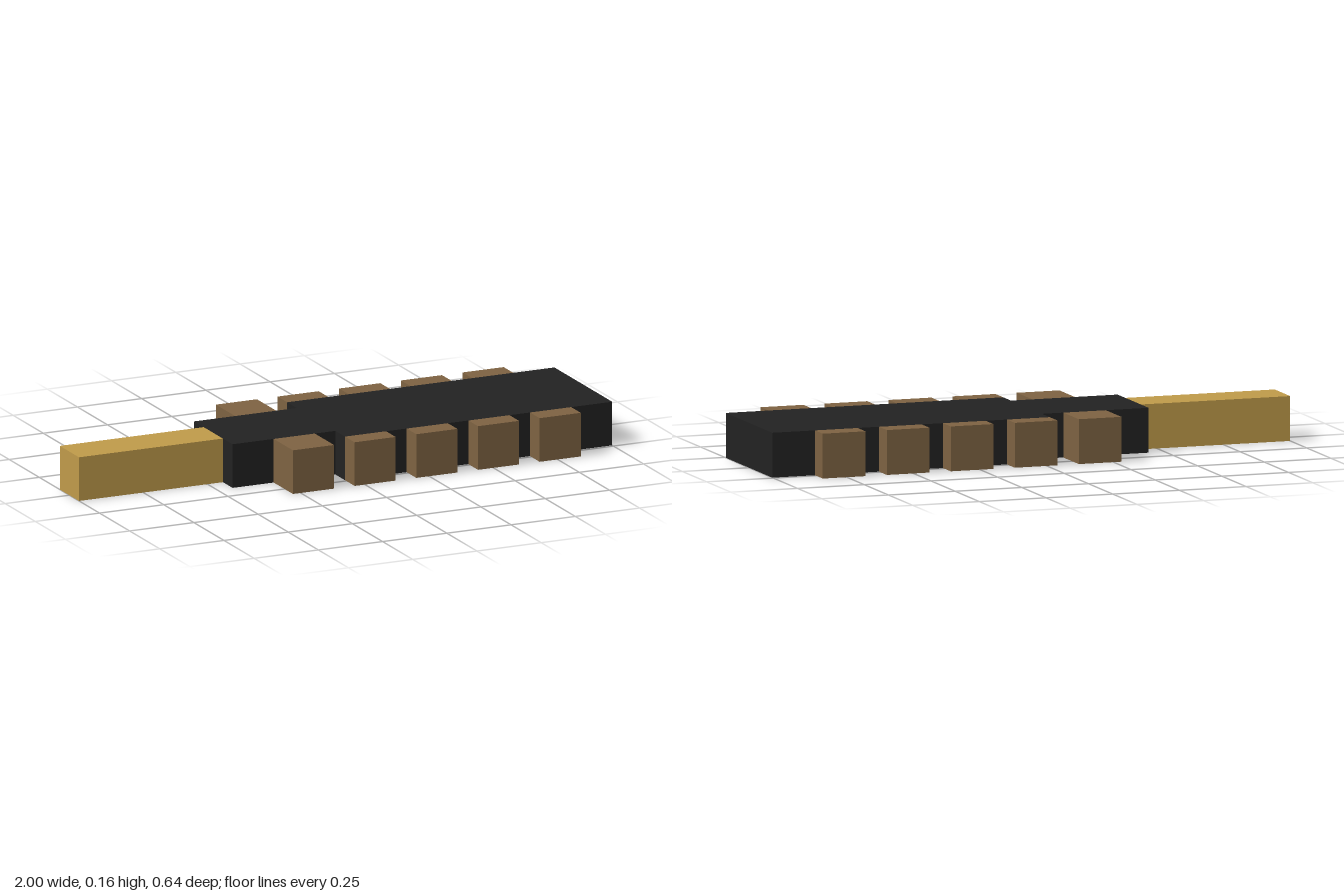
import * as THREE from 'three';

const HEIGHT = 0.16;

export function createModel() {
  const black = new THREE.MeshStandardMaterial({ name: 'black', color: 0x222222 });
  const brown = new THREE.MeshStandardMaterial({ name: 'brown', color: 0x7e6342 });
  const gold = new THREE.MeshStandardMaterial({ name: 'gold', color: 0xc09b4a });

  const model = new THREE.Group();
  model.name = 'toothedBlade';

  // Full-height block spanning x0..x1 and z0..z1
  function block(name, material, x0, x1, z0, z1) {
    const mesh = new THREE.Mesh(new THREE.BoxGeometry(x1 - x0, HEIGHT, z1 - z0), material);
    mesh.position.set((x0 + x1) / 2, HEIGHT / 2, (z0 + z1) / 2);
    mesh.name = name;
    model.add(mesh);
  }

  // Handle, narrow neck and wide blade in a line
  block('handle', gold, -1, -0.44, -0.08, 0.08);
  block('neck', black, -0.44, -0.04, -0.16, 0.16);
  block('blade', black, -0.04, 1, -0.24, 0.24);

  // Five teeth along each edge; the first sits on the neck, the rest on the blade
  for (let i = 0; i < 5; i++) {
    const x = -0.28 + i * 0.24;
    const root = i === 0 ? 0.16 : 0.24;
    block('frontTooth', brown, x, x + 0.16, root, 0.32);
    block('backTooth', brown, x, x + 0.16, -0.32, -root);
  }

  return model;
}
